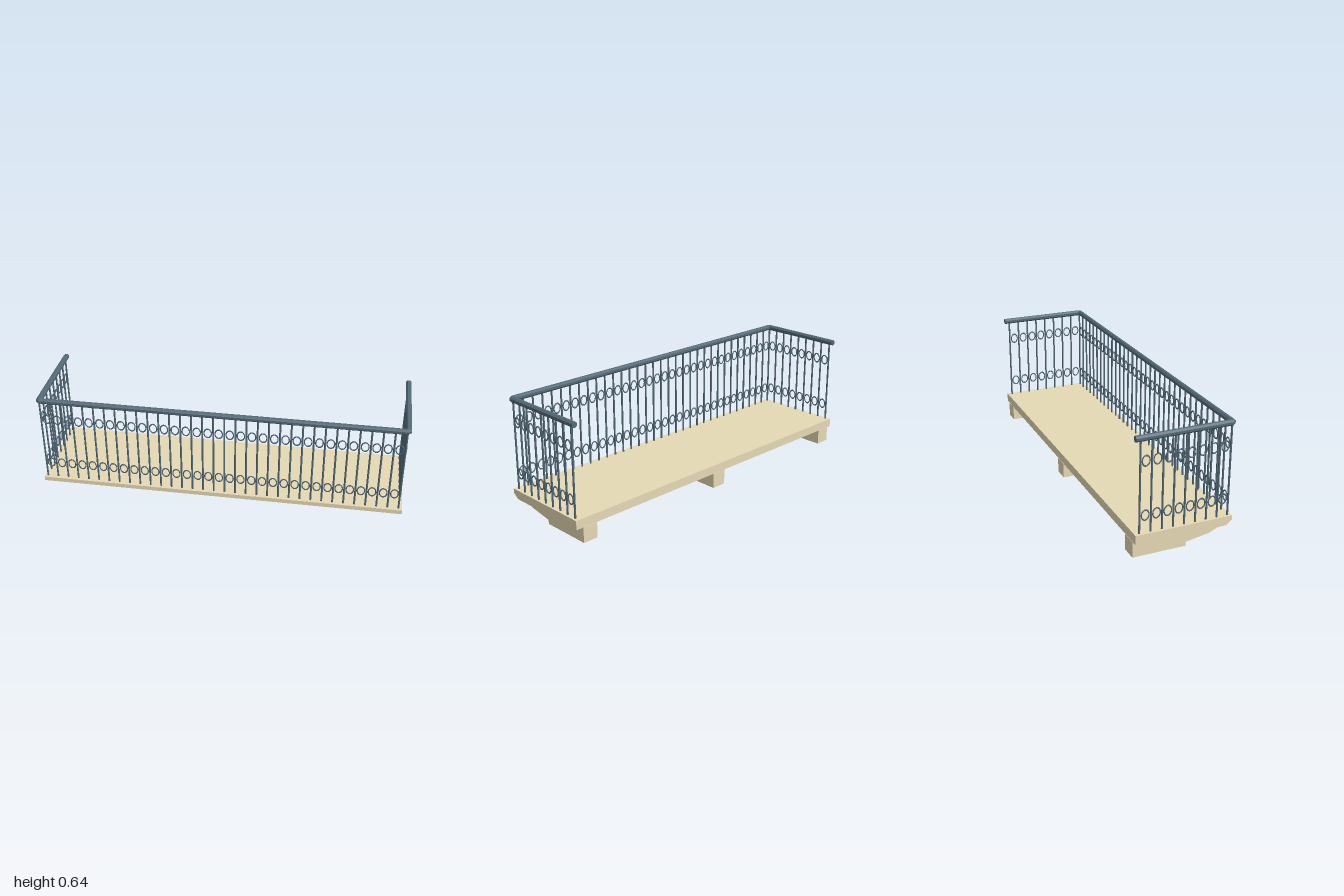
import * as THREE from 'three';

const stone = new THREE.MeshStandardMaterial({ color: 0xe6dab5 });
stone.name = 'sandstone';
const iron = new THREE.MeshStandardMaterial({ color: 0x546a77 });
iron.name = 'slate iron';

const SIDE = 0.984;      // x of the side railings
const FRONT = 0.242;     // z of the front railing
const FLOOR = 0.133, RAIL_Y = 0.627, RAIL_RADIUS = 0.0158;
const FRONT_GAPS = 33, SIDE_GAPS = 8, STEP = 0.0595;

// Extrudes a [z, y] side profile along x, centred on x
function prism(name, profile, width, x) {
  const shape = new THREE.Shape(profile.map(([z, y]) => new THREE.Vector2(-z, y)));
  const geo = new THREE.ExtrudeGeometry(shape, { depth: width, bevelEnabled: false });
  geo.translate(0, 0, -width / 2);
  geo.rotateY(Math.PI / 2);
  const mesh = new THREE.Mesh(geo, stone);
  mesh.name = name;
  mesh.position.x = x;
  return mesh;
}

// Octagonal handrail swept along a flat [x, z] path with mitred corners
function handrail(path, radius) {
  const pts = path.map(([x, z]) => new THREE.Vector2(x, z));
  const rings = pts.map((p, i) => {
    const a = i > 0 ? p.clone().sub(pts[i - 1]).normalize() : null;
    const b = i < pts.length - 1 ? pts[i + 1].clone().sub(p).normalize() : null;
    const dir = (a || b).clone().add(b || a).normalize();
    const stretch = 1 / dir.dot(a || b);
    return Array.from({ length: 8 }, (_, k) => {
      const t = (k + 0.5) * Math.PI / 4;
      const s = Math.cos(t) * radius * stretch;
      return [p.x - dir.y * s, RAIL_Y + Math.sin(t) * radius, p.y + dir.x * s];
    });
  });
  const pos = [];
  const tri = (a, b, c) => pos.push(...a, ...b, ...c);
  for (let i = 0; i < rings.length - 1; i++) {
    for (let k = 0; k < 8; k++) {
      const n = (k + 1) % 8, r = rings[i], q = rings[i + 1];
      tri(r[k], q[n], r[n]);
      tri(r[k], q[k], q[n]);
    }
  }
  const last = rings[rings.length - 1];
  for (let k = 1; k < 7; k++) {
    tri(rings[0][0], rings[0][k], rings[0][k + 1]);
    tri(last[0], last[k + 1], last[k]);
  }
  const geo = new THREE.BufferGeometry();
  geo.setAttribute('position', new THREE.Float32BufferAttribute(pos, 3));
  geo.computeVertexNormals();
  const mesh = new THREE.Mesh(geo, iron);
  mesh.name = 'handrail';
  return mesh;
}

export function createModel() {
  const model = new THREE.Group();
  model.name = 'balcony';

  // Floor slab with a chamfered front lip
  model.add(prism('floorSlab', [
    [-0.26, 0.084], [0.228, 0.084], [0.262, 0.109], [0.262, FLOOR], [-0.26, FLOOR],
  ], 2, 0));

  // Stepped supports under the slab
  const corbel = [
    [-0.262, 0], [0.025, 0], [0.025, 0.022], [0.155, 0.044], [0.202, 0.066], [0.202, 0.085], [-0.262, 0.085],
  ];
  [-0.928, 0.003, 0.916].forEach((x) => model.add(prism('supportBracket', corbel, 0.086, x)));

  // Handrail with small cut corners
  const c = 0.007, zf = 0.246, zb = -0.262;
  model.add(handrail([
    [-SIDE, zb], [-SIDE, zf - c], [-SIDE + c, zf], [SIDE - c, zf], [SIDE, zf - c], [SIDE, zb],
  ], RAIL_RADIUS));

  // Upright bars and oval rings
  const height = RAIL_Y - RAIL_RADIUS * 0.8 - FLOOR;
  const barGeo = new THREE.CylinderGeometry(0.0052, 0.0052, height, 8, 1, true);
  const ringGeo = new THREE.TorusGeometry(0.0201, 0.0032, 6, 20);
  ringGeo.scale(1, 1.33, 1);

  const addBar = (group, x, z) => {
    const bar = new THREE.Mesh(barGeo, iron);
    bar.name = 'upright';
    bar.position.set(x, FLOOR + height / 2, z);
    group.add(bar);
  };
  const addRings = (group, x, z, turn) => [0.226, 0.509].forEach((y) => {
    const ring = new THREE.Mesh(ringGeo, iron);
    ring.name = 'ovalRing';
    ring.position.set(x, y, z);
    ring.rotation.y = turn;
    group.add(ring);
  });

  const front = new THREE.Group();
  front.name = 'frontRailing';
  for (let i = 0; i <= FRONT_GAPS; i++) {
    addBar(front, -SIDE + i * STEP, FRONT);
    if (i < FRONT_GAPS) addRings(front, -SIDE + (i + 0.5) * STEP, FRONT, 0);
  }
  model.add(front);

  // Side railings share the corner bars of the front
  [-1, 1].forEach((s) => {
    const side = new THREE.Group();
    side.name = s > 0 ? 'leftRailing' : 'rightRailing';
    for (let i = 0; i < SIDE_GAPS; i++) {
      addBar(side, s * SIDE, FRONT - (i + 1) * STEP);
      addRings(side, s * SIDE, FRONT - (i + 0.5) * STEP, Math.PI / 2);
    }
    model.add(side);
  });

  return model;
}
